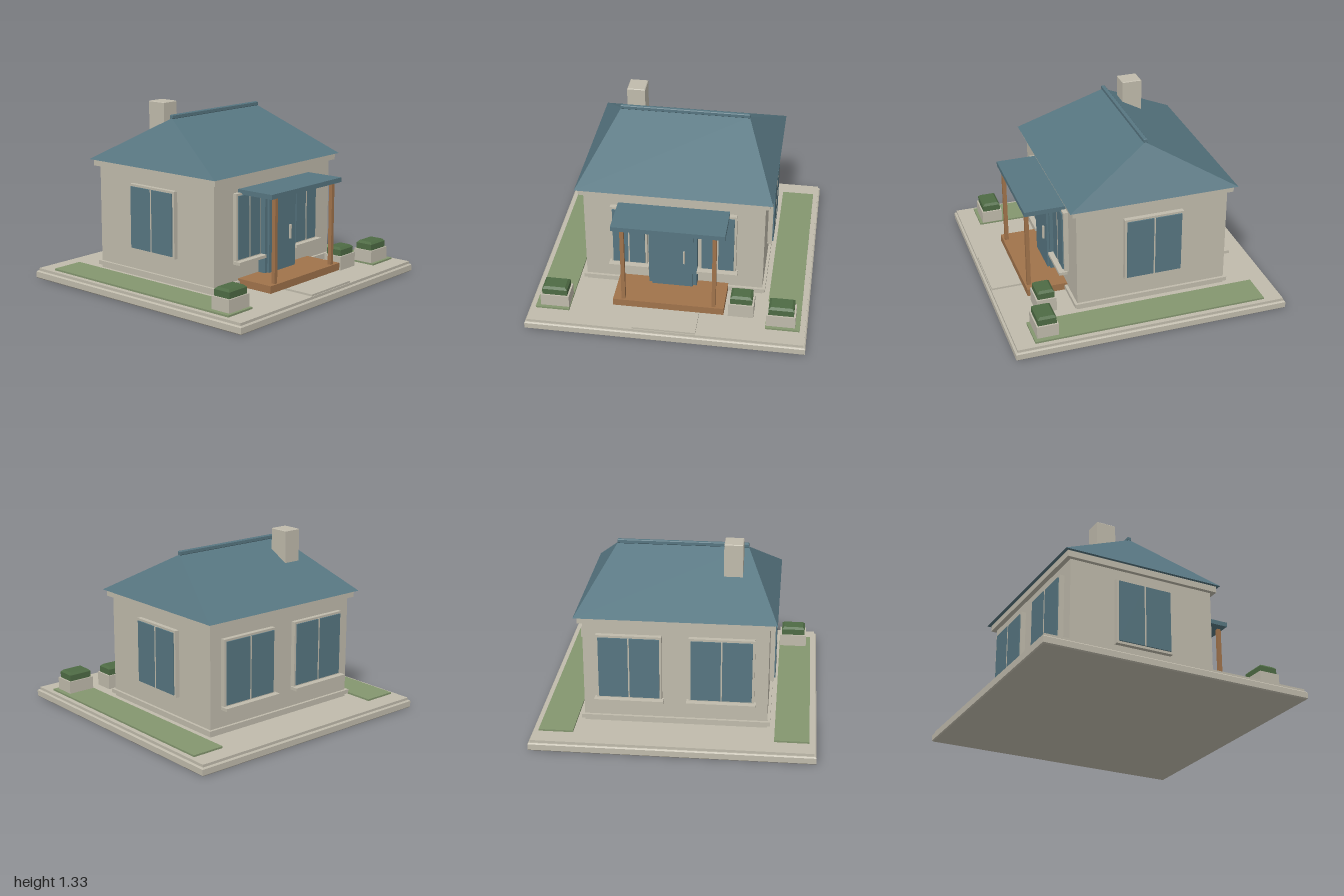
import * as THREE from 'three';

const mat = (name, color) => {
  const m = new THREE.MeshStandardMaterial({ color });
  m.name = name;
  return m;
};

export function createModel() {
  const stone = mat('stone', 0xc0bbac);
  const slate = mat('slate blue', 0x577681);
  const wood = mat('wood', 0xa0734b);
  const lawnGreen = mat('lawn green', 0x84966f);
  const hedgeGreen = mat('hedge green', 0x4e6b44);

  const house = new THREE.Group();
  house.name = 'house';

  const add = (name, geometry, material, parent) => {
    const mesh = new THREE.Mesh(geometry, material);
    mesh.name = name;
    parent.add(mesh);
    return mesh;
  };

  // Box given by its limits on each axis
  const box = (name, material, [x0, x1], [y0, y1], [z0, z1], parent = house) => {
    const g = new THREE.BoxGeometry(x1 - x0, y1 - y0, z1 - z0);
    g.translate((x0 + x1) / 2, (y0 + y1) / 2, (z0 + z1) / 2);
    return add(name, g, material, parent);
  };

  // Same, with the top and bottom edges chamfered by c
  const chamferBox = (name, material, [x0, x1], [y0, y1], [z0, z1], c, parent = house) => {
    const w = (x1 - x0) / 2 - c, d = (z1 - z0) / 2 - c;
    const shape = new THREE.Shape([
      new THREE.Vector2(-w, -d), new THREE.Vector2(w, -d),
      new THREE.Vector2(w, d), new THREE.Vector2(-w, d),
    ]);
    const g = new THREE.ExtrudeGeometry(shape, {
      depth: y1 - y0 - 2 * c, bevelEnabled: true, bevelSegments: 1, bevelSize: c, bevelThickness: c,
    });
    g.rotateX(-Math.PI / 2);
    g.translate((x0 + x1) / 2, y0 + c, (z0 + z1) / 2);
    return add(name, g, material, parent);
  };

  // Plot: base slab, paving, path and lawns
  chamferBox('baseSlab', stone, [-1, 1], [0, 0.058], [-1, 1], 0.008);
  box('paving', stone, [-0.985, 0.985], [0.055, 0.077], [-0.985, 0.985]);
  box('path', stone, [-0.225, 0.225], [0.07, 0.091], [0.45, 0.98]);
  for (const s of [-1, 1]) {
    const xs = s < 0 ? [-0.95, -0.705] : [0.705, 0.95];
    box('lawn', lawnGreen, xs, [0.07, 0.09], [-0.85, 0.85]);
  }

  // Walls with plinth and cornice
  box('walls', stone, [-0.65, 0.65], [0.077, 0.86], [-0.655, 0.46]);
  box('plinth', stone, [-0.67, 0.67], [0.1, 0.13], [-0.675, 0.48]);
  box('cornice', stone, [-0.68, 0.68], [0.848, 0.895], [-0.69, 0.495]);

  // Hip roof: the top corners of a box are drawn in to a ridge
  const roof = new THREE.BoxGeometry(1.406, 0.335, 1.23).toNonIndexed();
  const p = roof.attributes.position;
  for (let i = 0; i < p.count; i++) {
    if (p.getY(i) > 0) p.setXYZ(i, Math.sign(p.getX(i)) * 0.47, p.getY(i), Math.sign(p.getZ(i)) * 0.002);
  }
  roof.computeVertexNormals();
  roof.translate(0, 0.895 + 0.1675, -0.1);
  add('roof', roof, slate, house);
  chamferBox('ridgeCap', slate, [-0.472, 0.472], [1.225, 1.256], [-0.115, -0.087], 0.005);
  chamferBox('chimney', stone, [-0.443, -0.31], [0.98, 1.333], [-0.35, -0.202], 0.005);

  // Windows, built facing +z from the wall plane
  const makeWindow = (name, width, sill, x, z, turn) => {
    const g = new THREE.Group();
    g.name = name;
    const h = width / 2;
    box('windowFrame', stone, [-h, h], [0.277, 0.763], [-0.01, 0.034], g);
    for (const s of [-1, 1]) {
      const xs = [0.005, h - 0.016].map((v) => v * s).sort((a, b) => a - b);
      box('windowPane', slate, xs, [0.295, 0.747], [0.03, 0.043], g);
    }
    box('mullion', stone, [-0.005, 0.005], [0.295, 0.747], [0.03, 0.045], g);
    if (sill) box('windowSill', stone, [-h - 0.014, h + 0.014], [0.263, 0.285], [0.015, 0.077], g);
    g.position.set(x, 0, z);
    g.rotation.y = turn;
    house.add(g);
  };
  for (const s of [-1, 1]) {
    makeWindow('frontWindow', 0.265, true, s * 0.322, 0.46, 0);
    makeWindow('backWindow', 0.46, true, s * 0.324, -0.655, Math.PI);
    makeWindow('sideWindow', 0.436, false, s * 0.65, -0.1, s * Math.PI / 2);
  }

  // Front door
  box('doorFrame', slate, [-0.175, 0.175], [0.14, 0.705], [0.45, 0.52]);
  box('doorLeaf', slate, [-0.148, 0.148], [0.145, 0.683], [0.5, 0.537]);
  box('doorHandle', stone, [0.078, 0.09], [0.355, 0.46], [0.535, 0.552]);

  // Porch
  box('porchDeck', wood, [-0.4, 0.4], [0.091, 0.145], [0.45, 0.757]);
  for (const x of [-0.326, 0.326]) {
    box('porchPost', wood, [x - 0.014, x + 0.014], [0.14, 0.755], [0.715, 0.743]);
  }
  box('porchCanopy', slate, [-0.4, 0.4], [0.752, 0.786], [0.455, 0.76]);

  // Planters with clipped hedges
  const planter = (x, z, w, d) => {
    const g = new THREE.Group();
    g.name = 'planter';
    box('planterBox', stone, [-w / 2, w / 2], [0.077, 0.182], [-d / 2, d / 2], g);
    const hw = w / 2 - 0.013, hd = d / 2 - 0.011;
    chamferBox('hedge', hedgeGreen, [-hw, hw], [0.165, 0.243], [-hd, hd], 0.016, g);
    g.position.set(x, 0, z);
    house.add(g);
  };
  planter(-0.812, 0.75, 0.207, 0.155);
  planter(0.812, 0.75, 0.207, 0.155);
  planter(0.521, 0.673, 0.182, 0.145);

  return house;
}
